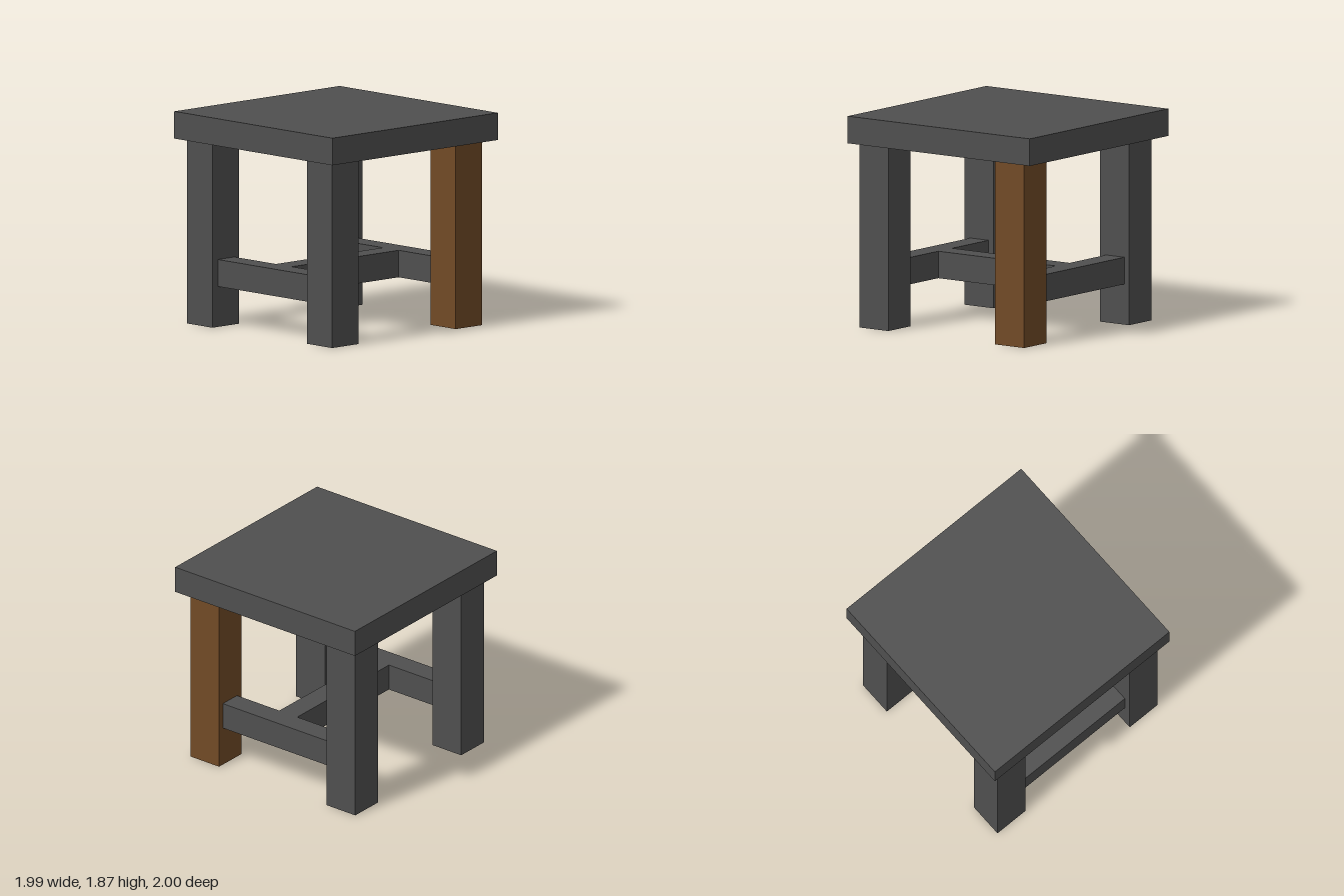
import * as THREE from 'three';

export function createModel() {
  const group = new THREE.Group();
  const darkGrey = new THREE.MeshStandardMaterial({ color: 0x4f4f4f });
  const brown = new THREE.MeshStandardMaterial({ color: 0x714a26 });

  // Box given by its extents along each axis
  function block(name, [x0, x1], [y0, y1], [z0, z1], material = darkGrey) {
    const mesh = new THREE.Mesh(new THREE.BoxGeometry(x1 - x0, y1 - y0, z1 - z0), material);
    mesh.position.set((x0 + x1) / 2, (y0 + y1) / 2, (z0 + z1) / 2);
    mesh.name = name;
    group.add(mesh);
  }

  const legX = { left: [0.56, 0.877], right: [-0.925, -0.608] };
  const legZ = { front: [0.605, 0.925], back: [-0.91, -0.59] };
  const railX = { left: [0.625, 0.825], right: [-0.86, -0.66] };
  const railY = [0.357, 0.595];

  // Seat slab
  block('seat', [-0.995, 0.995], [1.63, 1.87], [-1, 1]);

  for (const side of ['left', 'right']) {
    // Four legs, the front left one in brown
    for (const end of ['front', 'back']) {
      const material = side === 'left' && end === 'front' ? brown : darkGrey;
      block(`${end}${side === 'left' ? 'Left' : 'Right'}Leg`, legX[side], [0, 1.63], legZ[end], material);
    }
    // Side rail between the front and back legs
    block(`${side}Rail`, railX[side], railY, [legZ.back[1], legZ.front[0]]);
  }

  // Cross rail joining the two side rails
  block('crossRail', [railX.right[1], railX.left[0]], railY, [-0.065, 0.135]);

  return group;
}
